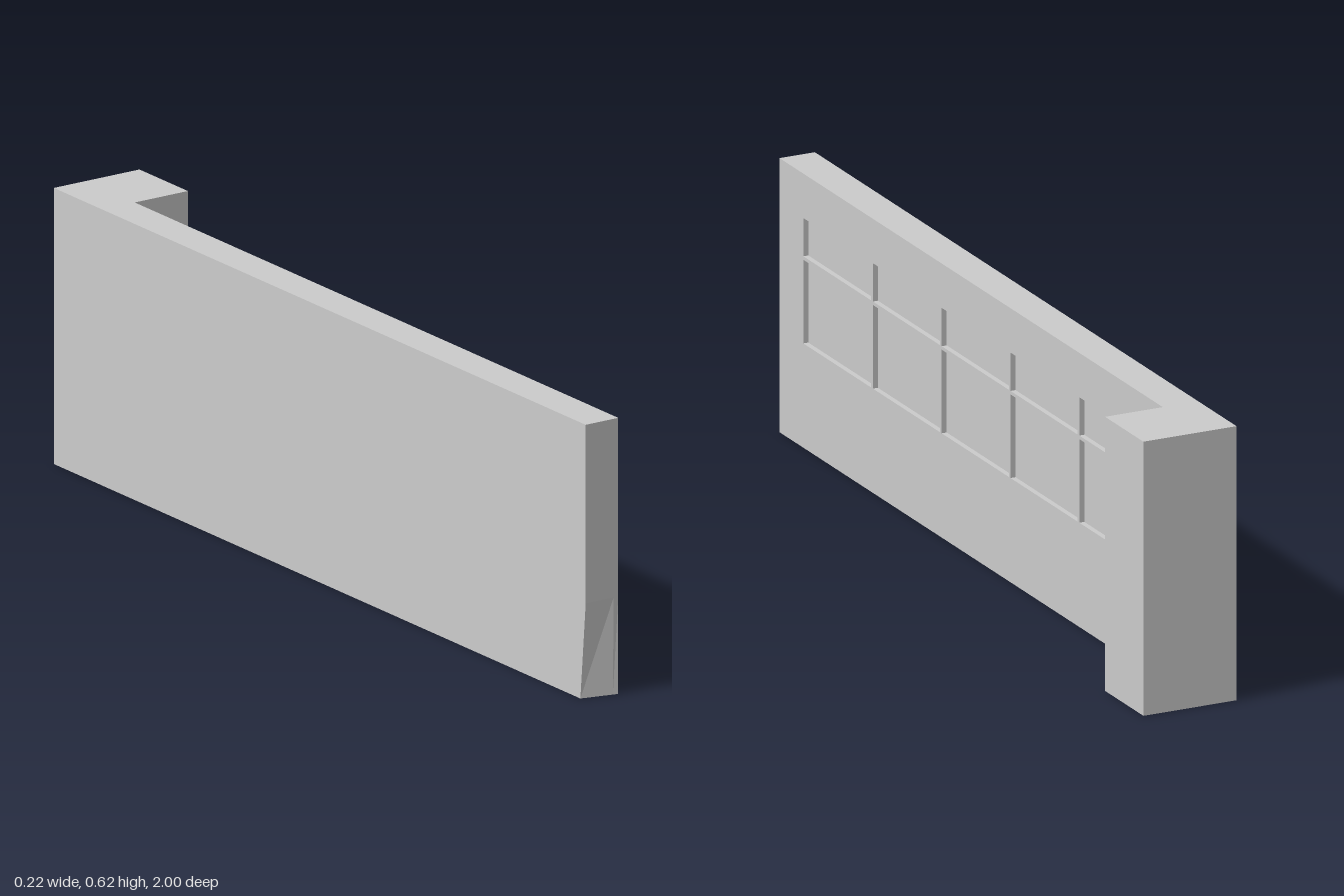
import * as THREE from 'three';

const H = 0.623, BACK = -0.112, FACE = -0.027, RIGHT = 0.112;
const RECESS = 0.012, BAR = 0.008, KINK = 0.22;

export function createModel() {
  const group = new THREE.Group();
  const material = new THREE.MeshStandardMaterial({ color: 0xcccccc, flatShading: true });

  const add = (name, geometry) => {
    const mesh = new THREE.Mesh(geometry, material);
    mesh.name = name;
    group.add(mesh);
  };

  // Outline of the long wall, seen from its window side (u = -z)
  const outline = () => new THREE.Shape([
    [-1, 0], [1, 0], [1, H], [-1, H], [-1, KINK],
  ].map(([u, y]) => new THREE.Vector2(u, y)));

  // Extrudes a wall slab between two x positions; its lower front end slants back a little
  const slab = (shape, x0, x1) => {
    const geometry = new THREE.ExtrudeGeometry(shape, { depth: x1 - x0, bevelEnabled: false });
    geometry.rotateY(Math.PI / 2).translate(x0, 0, 0);
    const p = geometry.attributes.position;
    for (let i = 0; i < p.count; i++) {
      if (p.getZ(i) > 0.99 && p.getY(i) < 0.001) {
        p.setZ(i, 1 - 0.02 * (FACE - p.getX(i)) / (FACE - BACK));
      }
    }
    geometry.computeVertexNormals();
    return geometry;
  };

  // Wall core, whose face is the glass of the windows
  add('wallCore', slab(outline(), BACK, FACE - RECESS));

  // Wall face with two rows of five recessed panes, divided by thin bars
  const face = outline();
  const start = -0.887, pitch = 0.3262;
  for (let i = 0; i < 5; i++) {
    const u0 = start + i * pitch + (i > 0 ? BAR / 2 : 0);
    const u1 = start + (i + 1) * pitch - (i < 4 ? BAR / 2 : 0);
    for (const [y0, y1] of [[0.237, 0.427], [0.435, 0.522]]) {
      face.holes.push(new THREE.Path([
        new THREE.Vector2(u0, y0), new THREE.Vector2(u0, y1),
        new THREE.Vector2(u1, y1), new THREE.Vector2(u1, y0),
      ]));
    }
  }
  add('windowWallFace', slab(face, FACE - RECESS, FACE));

  // Short return at the rear end
  const depth = 0.182;
  add('rearReturn', new THREE.BoxGeometry(RIGHT - FACE, H, depth)
    .translate((RIGHT + FACE) / 2, H / 2, -1 + depth / 2));

  return group;
}
